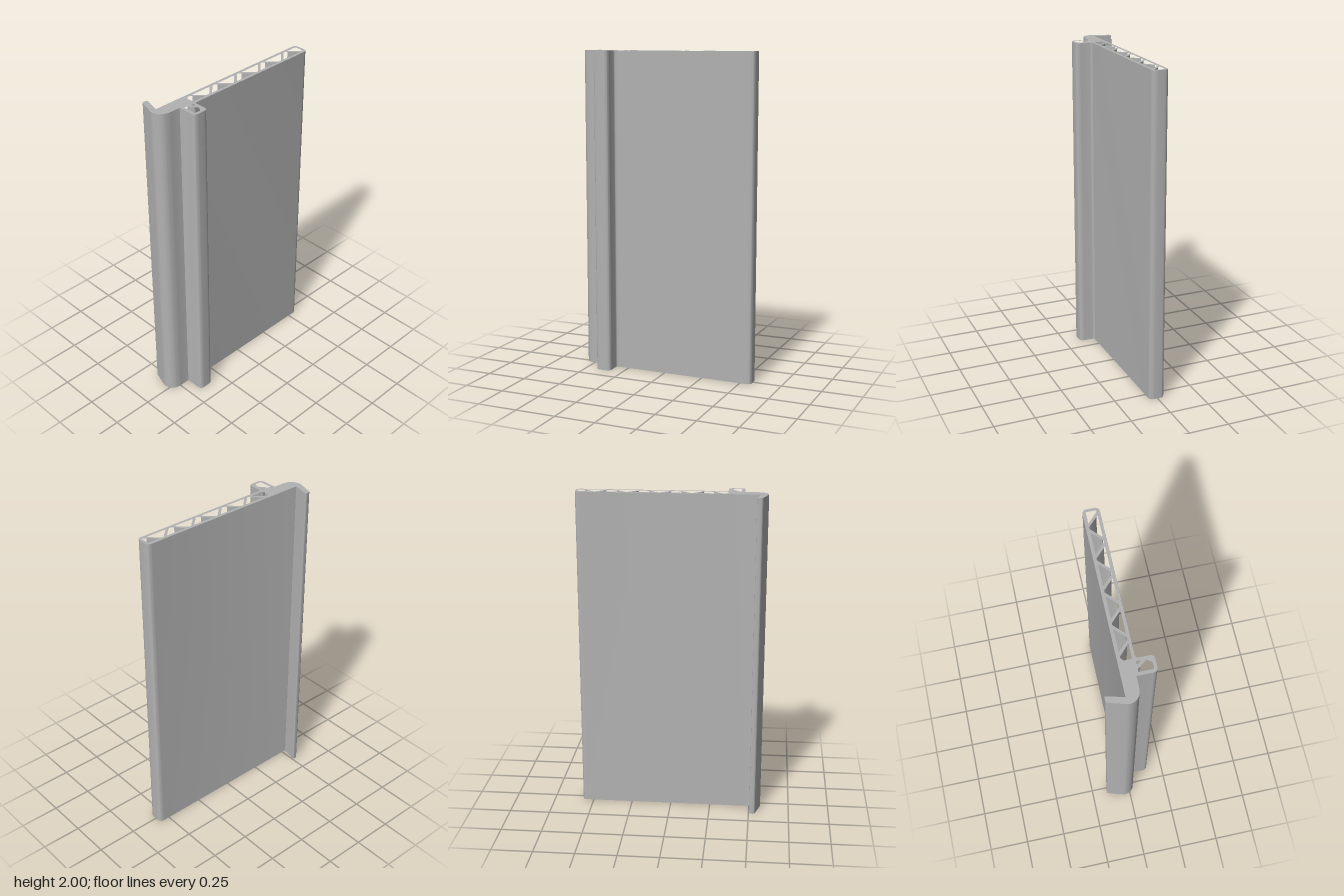
import * as THREE from 'three';
import { toCreasedNormals } from 'three/addons/utils/BufferGeometryUtils.js';

const HEIGHT = 2;

// Traces a closed polygon of [x, z, cornerSize] with eased corners (shape y = -z)
function trace(path, corners) {
  const pts = corners.map(([x, z]) => new THREE.Vector2(x, -z));
  const n = pts.length;
  const toward = (a, b, d) => a.clone().add(b.clone().sub(a).setLength(d));
  pts.forEach((p, i) => {
    const r = corners[i][2] ?? 0.003;
    const start = toward(p, pts[(i + n - 1) % n], r);
    const end = toward(p, pts[(i + 1) % n], r);
    if (i === 0) path.moveTo(start.x, start.y);
    else path.lineTo(start.x, start.y);
    path.quadraticCurveTo(p.x, p.y, end.x, end.y);
  });
  path.closePath();
  return path;
}

export function createModel() {
  const group = new THREE.Group();
  group.name = 'claddingPanel';
  const grey = new THREE.MeshStandardMaterial({ color: 0xb2b2b2 });
  grey.name = 'grey';

  // Outer section: back lip, flat board, front hook, rounded edge
  const section = trace(new THREE.Shape(), [
    [-0.537, -0.153, 0.011], [-0.502, -0.153, 0.011],
    [-0.53, -0.047, 0.001],
    [0.57, -0.047, 0.028], [0.57, 0.05, 0.028],
    [-0.333, 0.05, 0.018],
    [-0.333, 0.15, 0.028], [-0.431, 0.15, 0.028],
    [-0.431, 0.033, 0.001],
    [-0.5, 0.033, 0.01], [-0.53, 0.028, 0.01], [-0.55, 0.016, 0.01],
    [-0.565, -0.004, 0.01], [-0.572, -0.03, 0.007], [-0.57, -0.045, 0.007],
  ]);
  const cut = (corners) => section.holes.push(trace(new THREE.Path(), corners));

  // Truss cavities inside the board
  const back = -0.028, front = 0.032, pitch = 0.192;
  cut([[-0.333, front], [-0.333, -0.013], [-0.315, back], [-0.308, back], [-0.247, front]]);
  for (let k = 0; k < 4; k++) {
    const up = -0.122 + k * pitch, down = -0.217 + k * pitch;
    cut([[up - 0.067, front], [up - 0.006, back], [up + 0.006, back], [up + 0.067, front]]);
    cut([[down - 0.067, back], [down + 0.067, back], [down + 0.006, front], [down - 0.006, front]]);
  }
  cut([[0.482, back], [0.553, back], [0.553, 0.03], [0.543, 0.03]]);

  // Cavities inside the hook
  cut([[-0.411, 0.049], [-0.394, 0.049], [-0.353, 0.104], [-0.373, 0.132], [-0.411, 0.132]]);
  cut([[-0.37, 0.05], [-0.35, 0.05], [-0.35, 0.071], [-0.356, 0.071]]);

  const geometry = new THREE.ExtrudeGeometry(section, {
    depth: HEIGHT, bevelEnabled: false, curveSegments: 6,
  });
  geometry.rotateX(-Math.PI / 2);
  const panel = new THREE.Mesh(toCreasedNormals(geometry, 0.6), grey);
  panel.name = 'extrudedPanel';
  group.add(panel);
  return group;
}
